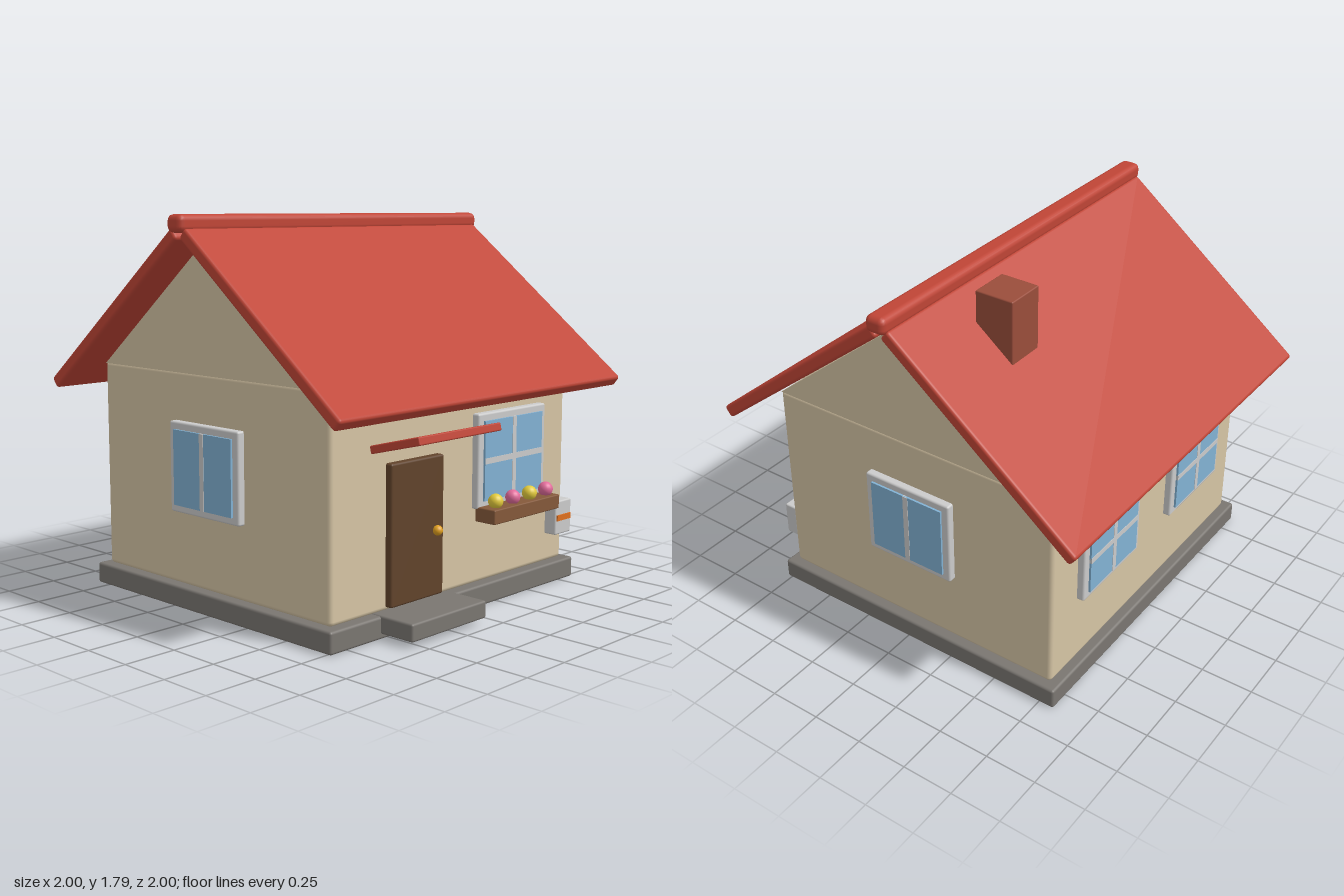
import * as THREE from 'three';
import { RoundedBoxGeometry } from 'three/addons/geometries/RoundedBoxGeometry.js';

const paint = (color) => new THREE.MeshStandardMaterial({ color });
const wallMat = paint(0xd6c5a5);
const roofMat = paint(0xc04536);
const stoneMat = paint(0x7a7671);
const chimneyMat = paint(0x9a4d3b);
const doorMat = paint(0x61432b);
const boxMat = paint(0x85593a);
const frameMat = paint(0xd8d8d6);
const glassMat = paint(0x82b2d4);
const goldMat = paint(0xe0a020);
const yellowMat = paint(0xe3cb3c);
const pinkMat = paint(0xe36c9c);
const orangeMat = paint(0xe0701f);

const MID = -0.027; // z of the ridge and the centre of the house

function add(parent, name, geometry, material, x, y, z) {
  const mesh = new THREE.Mesh(geometry, material);
  mesh.name = name;
  mesh.position.set(x, y, z);
  parent.add(mesh);
  return mesh;
}

// Box given by its size and centre, with softened edges
function block(parent, name, [w, h, d], [x, y, z], material, radius = 0.008) {
  return add(parent, name, new RoundedBoxGeometry(w, h, d, 2, radius), material, x, y, z);
}

// Window facing +z with its back at the local origin
function makeWindow(name, w, h, crossBar) {
  const group = new THREE.Group();
  group.name = name;
  const gw = w - 0.074, gh = h - 0.07, bar = 0.027;
  block(group, 'windowFrame', [w, h, 0.06], [0, 0, 0.005], frameMat, 0.01);
  add(group, 'windowGlass', new THREE.BoxGeometry(gw, gh, 0.04), glassMat, 0, 0, 0.025);
  add(group, 'windowMullion', new THREE.BoxGeometry(bar, gh, 0.042), frameMat, 0, 0, 0.026);
  if (crossBar) {
    add(group, 'windowCrossBar', new THREE.BoxGeometry(gw, bar, 0.042), frameMat, 0, 0, 0.026);
  }
  return group;
}

export function createModel() {
  const house = new THREE.Group();
  house.name = 'house';

  // Foundation, step and walls
  block(house, 'foundation', [1.71, 0.1, 1.6], [0, 0.05, MID], stoneMat, 0.012);
  block(house, 'doorStep', [0.494, 0.08, 0.26], [-0.304, 0.064, 0.82], stoneMat, 0.01);
  block(house, 'walls', [1.626, 0.99, 1.514], [0, 0.595, MID], wallMat, 0.02);

  // Gable prism under the roof
  const triangle = new THREE.Shape([
    new THREE.Vector2(-0.757, 1.08), new THREE.Vector2(0.757, 1.08), new THREE.Vector2(0, 1.685),
  ]);
  const gable = new THREE.ExtrudeGeometry(triangle, { depth: 1.62, bevelEnabled: false });
  gable.translate(0, 0, -0.81).rotateY(-Math.PI / 2);
  add(house, 'gable', gable, wallMat, 0, 0, MID);

  // Two roof slopes, ridge cap and chimney
  for (const side of [1, -1]) {
    const slope = block(house, side > 0 ? 'frontRoof' : 'backRoof',
      [1.95, 0.06, 1.18], [0, 1.345, MID + side * 0.49], roofMat, 0.015);
    slope.rotation.x = side * 0.668;
  }
  block(house, 'ridgeCap', [1.995, 0.08, 0.1], [0, 1.75, MID], roofMat, 0.028);
  block(house, 'chimney', [0.19, 0.5, 0.19], [0.457, 1.527, -0.298], chimneyMat, 0.006);

  // Door, knob and canopy
  block(house, 'door', [0.344, 0.63, 0.06], [-0.305, 0.431, 0.734], doorMat, 0.01);
  add(house, 'doorKnob', new THREE.SphereGeometry(0.023, 20, 14), goldMat, -0.187, 0.413, 0.775);
  const canopy = block(house, 'canopy', [0.54, 0.036, 0.28], [-0.307, 0.85, 0.865], roofMat, 0.006);
  canopy.rotation.x = -0.25;

  // Windows: name, width, height, cross bar, position, turn about y
  const windows = [
    ['frontWindow', 0.505, 0.44, true, [0.358, 0.675, 0.73], 0],
    ['rightWindow', 0.466, 0.418, false, [0.813, 0.654, MID], Math.PI / 2],
    ['leftWindow', 0.466, 0.418, false, [-0.813, 0.654, MID], -Math.PI / 2],
    ['backWindowA', 0.466, 0.418, true, [0.38, 0.654, -0.784], Math.PI],
    ['backWindowB', 0.466, 0.418, true, [-0.38, 0.654, -0.784], Math.PI],
  ];
  for (const [name, w, h, cross, position, turn] of windows) {
    const win = makeWindow(name, w, h, cross);
    win.position.set(...position);
    win.rotation.y = turn;
    house.add(win);
  }

  // Flower box with alternating blossoms
  block(house, 'flowerBox', [0.498, 0.068, 0.115], [0.358, 0.432, 0.803], boxMat, 0.006);
  for (let i = 0; i < 4; i++) {
    add(house, 'flower', new THREE.SphereGeometry(0.035, 20, 14),
      i % 2 ? pinkMat : yellowMat, 0.172 + i * 0.128, 0.493, 0.815);
  }

  // Letter box with its coloured slot
  block(house, 'mailbox', [0.128, 0.166, 0.07], [0.739, 0.324, 0.758], frameMat, 0.008);
  add(house, 'mailSlot', new THREE.BoxGeometry(0.108, 0.028, 0.02), orangeMat, 0.738, 0.324, 0.79);

  return house;
}
